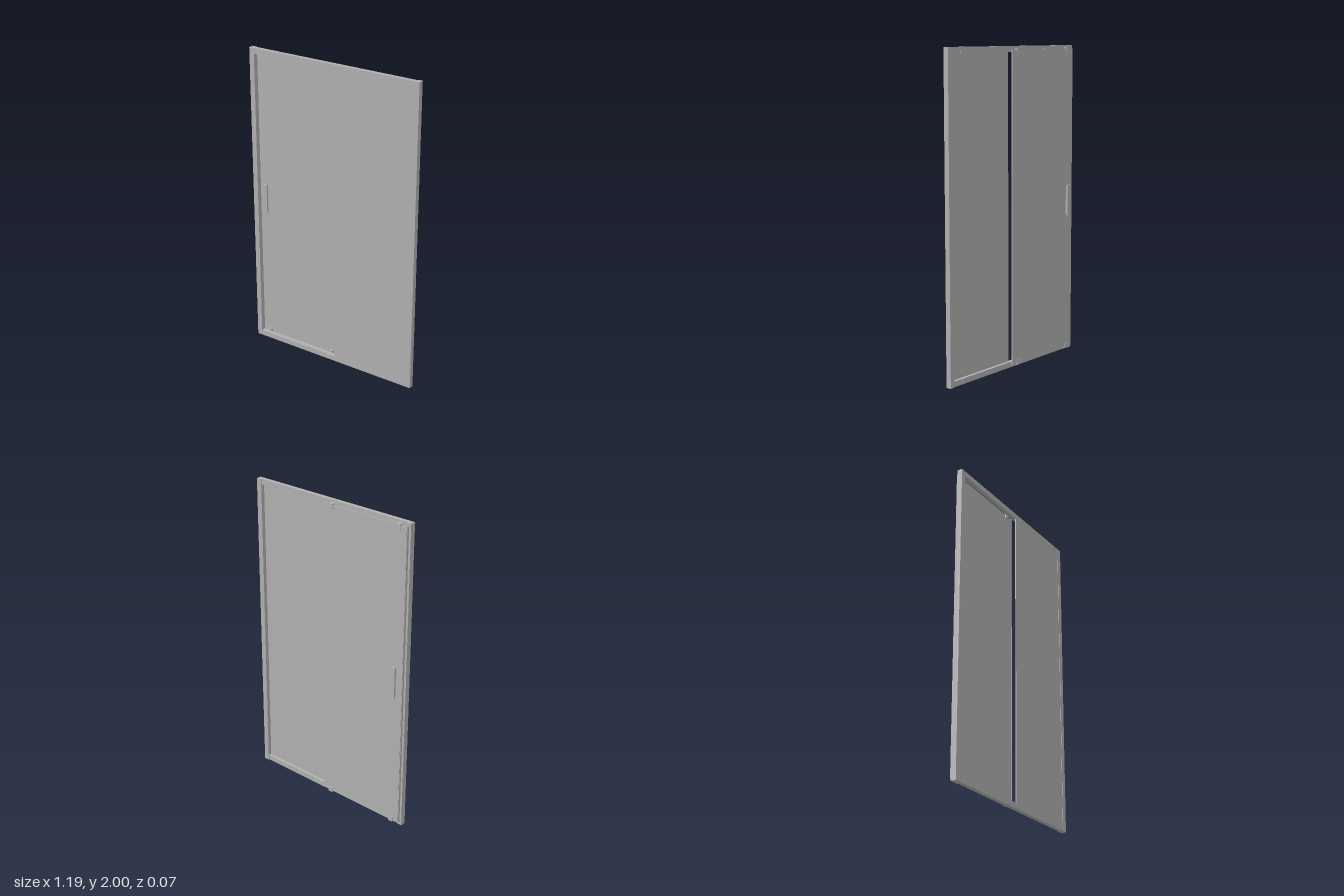
import * as THREE from 'three';
import { RoundedBoxGeometry } from 'three/addons/geometries/RoundedBoxGeometry.js';

const grey = new THREE.MeshStandardMaterial({ color: 0xb0b0b0 });
grey.name = 'satin grey';

export function createModel() {
  const group = new THREE.Group();

  const add = (name, geometry) => {
    const mesh = new THREE.Mesh(geometry, grey);
    mesh.name = name;
    group.add(mesh);
    return mesh;
  };

  // Box given by its extents on each axis
  const box = (name, [x0, x1], [y0, y1], [z0, z1]) => {
    const g = new THREE.BoxGeometry(x1 - x0, y1 - y0, z1 - z0);
    g.translate((x0 + x1) / 2, (y0 + y1) / 2, (z0 + z1) / 2);
    return add(name, g);
  };

  // Plan outline (x, z) extruded upwards from y0 to y1
  const prism = (name, points, y0, y1) => {
    const shape = new THREE.Shape(points.map(([x, z]) => new THREE.Vector2(x, z)));
    const g = new THREE.ExtrudeGeometry(shape, { depth: y1 - y0, bevelEnabled: false });
    g.rotateX(Math.PI / 2);
    g.translate(0, y1, 0);
    return add(name, g);
  };

  // Fixed frame: two stiles with a lip at the back, two rails
  for (const s of [-1, 1]) {
    const outline = [[0.597, 0.035], [0.563, 0.035], [0.563, 0.003], [0.57, 0.001], [0.597, 0.001]];
    prism(s < 0 ? 'rightStile' : 'leftStile', outline.map(([x, z]) => [s * x, z]), 0, 2);
  }
  box('bottomRail', [-0.563, 0.563], [0, 0.035], [0.007, 0.035]);
  box('topRail', [-0.563, 0.563], [1.965, 2], [0.007, 0.035]);

  // Fixed pane, almost flush with the frame front
  box('fixedPane', [0.025, 0.563], [0.035, 1.965], [0.027, 0.033]);

  // Small clips on the rails behind the fixed pane
  for (const y of [0.018, 1.965]) {
    box('paneClip', [0.445, 0.485], [y, y + 0.017], [0.004, 0.008]);
  }

  // Sliding door with its edge seals
  box('slidingDoor', [-0.58, 0.03], [0.02, 1.98], [-0.015, -0.009]);
  prism('doorEdgeSeal', [[0.03, -0.015], [0.037, -0.015], [0.034, -0.005], [0.03, -0.005]], 0.02, 1.98);
  box('closingSeal', [-0.583, -0.578], [0.02, 1.98], [-0.013, 0.001]);

  // Rollers at the door corners, tapering towards the rail
  const rollerPlan = [[-0.016, -0.02], [0.016, -0.02], [0.016, -0.004], [0.007, 0.007], [-0.007, 0.007], [-0.016, -0.004]];
  for (const x of [-0.523, -0.023]) {
    for (const y of [0.012, 1.955]) {
      prism('roller', rollerPlan.map(([px, pz]) => [px + x, pz]), y, y + 0.033);
    }
  }

  // Handle on each face of the door: narrow neck and wider grip
  for (const s of [-1, 1]) {
    const neck = new THREE.BoxGeometry(0.016, 0.18, 0.014);
    neck.translate(-0.525, 1, -0.012 + s * 0.009);
    add('handleNeck', neck);
    const grip = new RoundedBoxGeometry(0.029, 0.205, 0.01, 2, 0.002);
    grip.translate(-0.525, 1, -0.012 + s * 0.018);
    add('handleGrip', grip);
  }

  return group;
}
